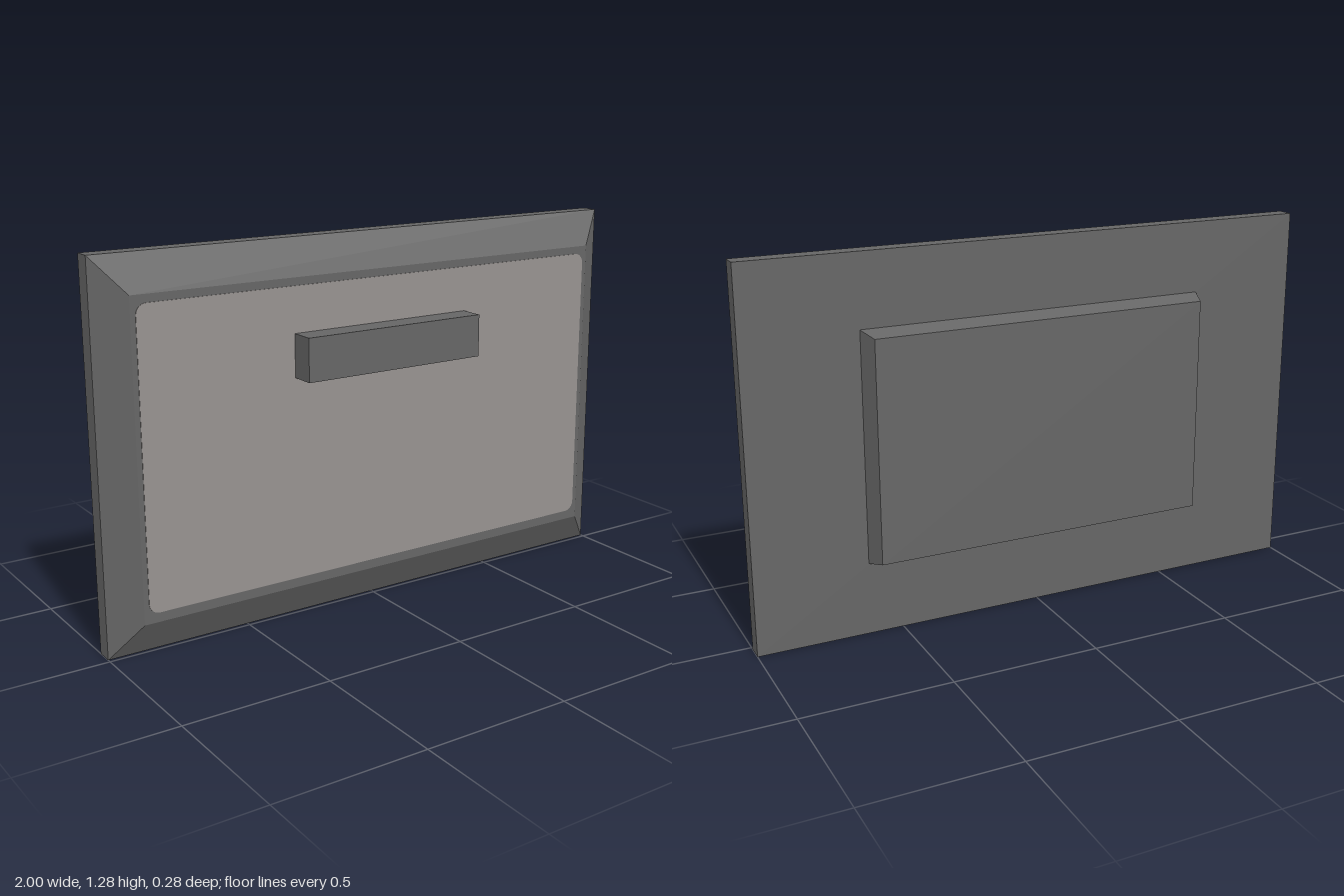
import * as THREE from 'three';

const HEIGHT = 1.28;

// Box from z0 to z1 whose end at z1 is drawn in by insetX and insetY
function taperedBlock(width, height, z0, z1, insetX = 0, insetY = 0) {
  const geometry = new THREE.BoxGeometry(width, height, Math.abs(z1 - z0));
  geometry.translate(0, 0, (z0 + z1) / 2);
  const p = geometry.attributes.position;
  for (let i = 0; i < p.count; i++) {
    if (Math.abs(p.getZ(i) - z1) < 1e-4) {
      p.setX(i, p.getX(i) - Math.sign(p.getX(i)) * insetX);
      p.setY(i, p.getY(i) - Math.sign(p.getY(i)) * insetY);
    }
  }
  geometry.computeVertexNormals();
  return geometry;
}

function roundedRect(w, h, r) {
  const x = w / 2, y = h / 2, s = new THREE.Shape();
  s.absarc(x - r, y - r, r, 0, Math.PI / 2);
  s.absarc(-x + r, y - r, r, Math.PI / 2, Math.PI);
  s.absarc(-x + r, -y + r, r, Math.PI, Math.PI * 1.5);
  s.absarc(x - r, -y + r, r, Math.PI * 1.5, Math.PI * 2);
  s.closePath();
  return s;
}

export function createModel() {
  const group = new THREE.Group();
  const darkGrey = new THREE.MeshStandardMaterial({ name: 'dark grey', color: 0x666666 });
  const warmGrey = new THREE.MeshStandardMaterial({ name: 'warm grey', color: 0x979290 });

  const add = (name, geometry, material, y) => {
    const mesh = new THREE.Mesh(geometry, material);
    mesh.name = name;
    mesh.position.y = y;
    group.add(mesh);
  };

  // Drawer front: flat slab with a wide chamfer facing forward
  add('slab', taperedBlock(2, HEIGHT, -0.072, -0.014), darkGrey, HEIGHT / 2);
  add('chamferedFront', taperedBlock(2, HEIGHT, -0.014, 0.054, 0.1, 0.118), darkGrey, HEIGHT / 2);

  // Inlaid panel with rounded corners
  const panel = new THREE.ExtrudeGeometry(roundedRect(1.765, 0.985, 0.035),
    { depth: 0.002, bevelEnabled: false, curveSegments: 6 });
  panel.translate(0, 0, 0.054);
  add('frontPanel', panel, warmGrey, 0.643);

  // Bar handle
  add('handle', taperedBlock(0.68, 0.145, 0.054, 0.141), darkGrey, 0.91);

  // Tapered block on the back
  add('backBlock', taperedBlock(1.228, 0.785, -0.072, -0.141, 0.023, 0.017), darkGrey, 0.642);

  return group;
}
